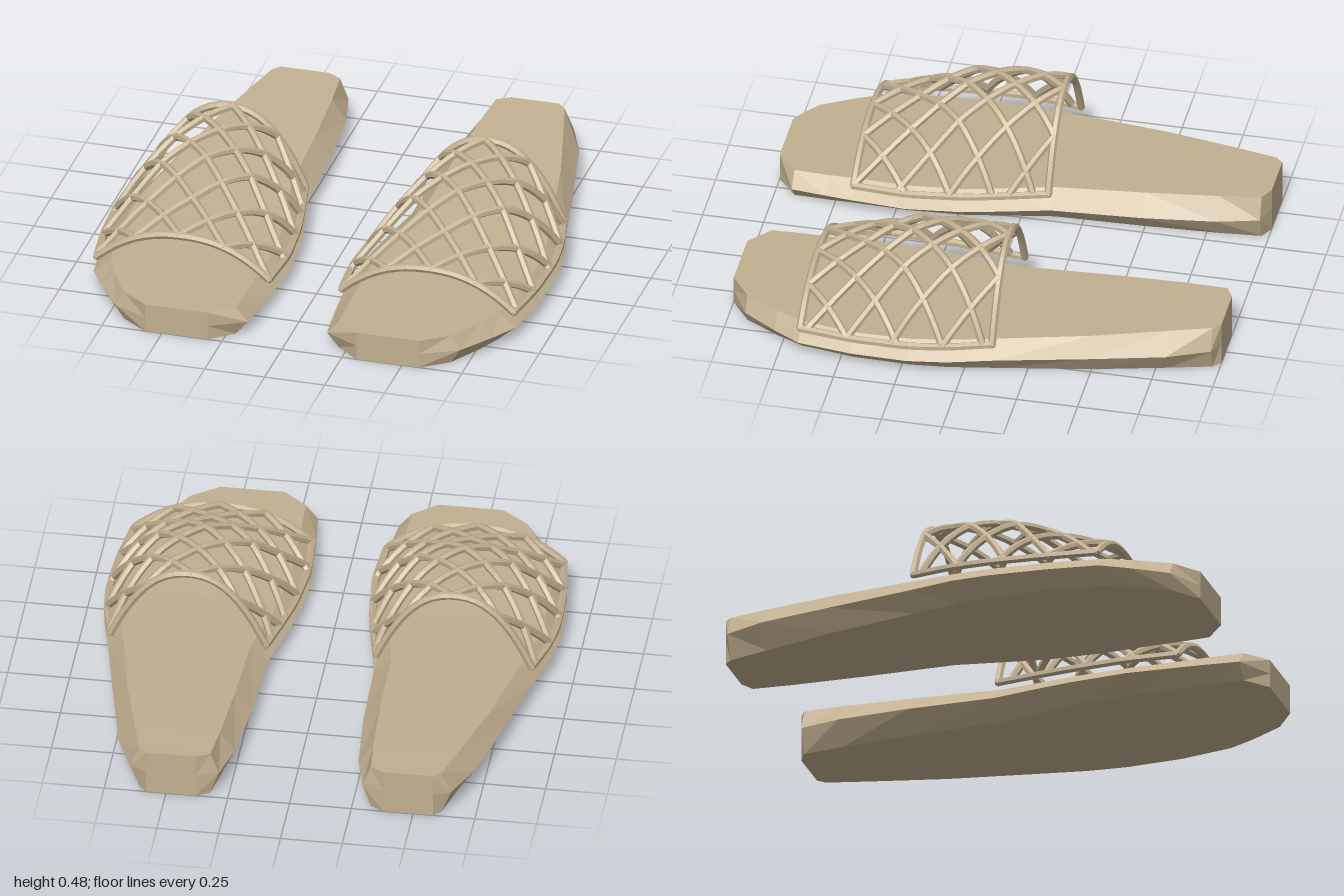
import * as THREE from 'three';

// Sole stations: z, inner x, inner top x, outer top x, outer x, top y, widest y
const SOLE = [
  [-1.0, 0.38, 0.38, 0.58, 0.58, 0.19, 0.1],
  [-0.97, 0.29, 0.325, 0.61, 0.65, 0.188, 0.099],
  [-0.8, 0.25, 0.31, 0.655, 0.72, 0.18, 0.095],
  [-0.5, 0.225, 0.295, 0.73, 0.785, 0.163, 0.086],
  [-0.13, 0.215, 0.285, 0.8, 0.86, 0.143, 0.076],
  [0.06, 0.175, 0.25, 0.835, 0.905, 0.133, 0.07],
  [0.22, 0.145, 0.22, 0.85, 0.92, 0.125, 0.064],
  [0.45, 0.125, 0.205, 0.845, 0.91, 0.12, 0.06],
  [0.67, 0.14, 0.21, 0.81, 0.88, 0.12, 0.06],
  [0.78, 0.15, 0.21, 0.76, 0.815, 0.12, 0.06],
  [0.92, 0.165, 0.215, 0.68, 0.72, 0.12, 0.06],
  [1.0, 0.31, 0.31, 0.57, 0.57, 0.12, 0.06],
];
// Strap crown height along z
const CROWN = [[-0.13, 0.462], [0.1, 0.45], [0.27, 0.428], [0.45, 0.345], [0.67, 0.265]];
const BACK = -0.118, FRONT = 0.663, BAR = 0.016;

function lookup(table, z, col) {
  let i = 0;
  while (i < table.length - 2 && z > table[i + 1][0]) i++;
  const a = table[i], b = table[i + 1];
  return THREE.MathUtils.lerp(a[col], b[col], (z - a[0]) / (b[0] - a[0]));
}

const innerEdge = (z) => lookup(SOLE, z, 1) + 0.012;
const outerEdge = (z) => lookup(SOLE, z, 4) - 0.012;

// Height of the domed strap above a point of the sole
function strapY(x, z) {
  const a = innerEdge(z), b = outerEdge(z);
  const u = Math.min(1, Math.abs((2 * x - a - b) / (b - a)));
  const base = lookup(SOLE, z, 5) + 0.004;
  return base + (lookup(CROWN, z, 1) - base) * (1 - u ** 2.3);
}

// Sole lofted through six-sided cross-sections
function soleGeometry(side) {
  const pos = [], idx = [], n = 6, last = SOLE.length - 1;
  for (const [z, xi, xit, xot, xo, top, mid] of SOLE) {
    const ring = [[xit, top], [xot, top], [xo, mid], [xot, 0], [xit, 0], [xi, mid]];
    for (const [x, y] of ring) pos.push(x * side, y, z);
  }
  const tri = (a, b, c) => (side > 0 ? idx.push(a, b, c) : idx.push(a, c, b));
  for (let i = 0; i < last; i++) {
    for (let j = 0; j < n; j++) {
      const k = (j + 1) % n;
      const a = i * n + j, b = i * n + k, c = b + n, d = a + n;
      tri(a, d, c);
      tri(a, c, b);
    }
  }
  for (let j = 1; j < n - 1; j++) {
    tri(0, j, j + 1);
    tri(last * n, last * n + j + 1, last * n + j);
  }
  const geo = new THREE.BufferGeometry();
  geo.setAttribute('position', new THREE.Float32BufferAttribute(pos, 3));
  geo.setIndex(idx);
  const flat = geo.toNonIndexed();
  flat.computeVertexNormals();
  return flat;
}

function createSlide(side, material) {
  const slide = new THREE.Group();
  const add = (geo, name) => {
    const mesh = new THREE.Mesh(geo, material);
    mesh.name = name;
    slide.add(mesh);
    return mesh;
  };
  add(soleGeometry(side), 'sole');

  // A bar through [x, z] points laid on the strap surface, closed at both ends
  const bar = (xz, name, radius = BAR) => {
    const pts = xz.map(([x, z]) => new THREE.Vector3(x * side, strapY(x, z), z));
    const curve = new THREE.CatmullRomCurve3(pts);
    const segments = Math.max(2, Math.round(curve.getLength() / 0.035));
    add(new THREE.TubeGeometry(curve, segments, radius, 6), name);
    for (const p of [pts[0], pts[pts.length - 1]]) {
      add(new THREE.IcosahedronGeometry(radius, 0), name + 'End').position.copy(p);
    }
  };

  // Front and back arches
  for (const [z, name] of [[BACK, 'backArch'], [FRONT, 'frontArch']]) {
    const pts = [];
    for (let i = 0; i <= 20; i++) {
      pts.push([THREE.MathUtils.lerp(innerEdge(z), outerEdge(z), i / 20), z]);
    }
    bar(pts, name);
  }

  // Rails along the sole edges
  for (const [edge, name] of [[innerEdge, 'innerRail'], [outerEdge, 'outerRail']]) {
    const pts = [];
    for (let i = 0; i <= 10; i++) {
      const z = THREE.MathUtils.lerp(BACK, FRONT, i / 10);
      pts.push([edge(z), z]);
    }
    bar(pts, name);
  }

  // Diagonal lattice, clipped to the strap outline
  const pitchX = 0.185, pitchZ = (FRONT - BACK) / 4;
  for (const dir of [1, -1]) {
    for (let k = -5; k <= 5; k++) {
      const pts = [];
      for (let i = 0; i <= 160; i++) {
        const t = i / 160;
        const z = THREE.MathUtils.lerp(BACK, FRONT, t);
        const x = 0.525 + pitchX * k + dir * pitchX * 4 * (t - 0.5);
        if (x >= innerEdge(z) && x <= outerEdge(z)) pts.push([x, z]);
      }
      if (pts.length < 8) continue;
      const kept = pts.filter((p, i) => i % 5 === 0 && i < pts.length - 3);
      kept.push(pts[pts.length - 1]);
      bar(kept, 'latticeBar');
    }
  }
  return slide;
}

export function createModel() {
  const tan = new THREE.MeshStandardMaterial({ color: 0xc2b091, flatShading: true });
  tan.name = 'tan';
  const model = new THREE.Group();
  model.name = 'slides';
  for (const [side, name] of [[1, 'leftSlide'], [-1, 'rightSlide']]) {
    const slide = createSlide(side, tan);
    slide.name = name;
    model.add(slide);
  }
  return model;
}
